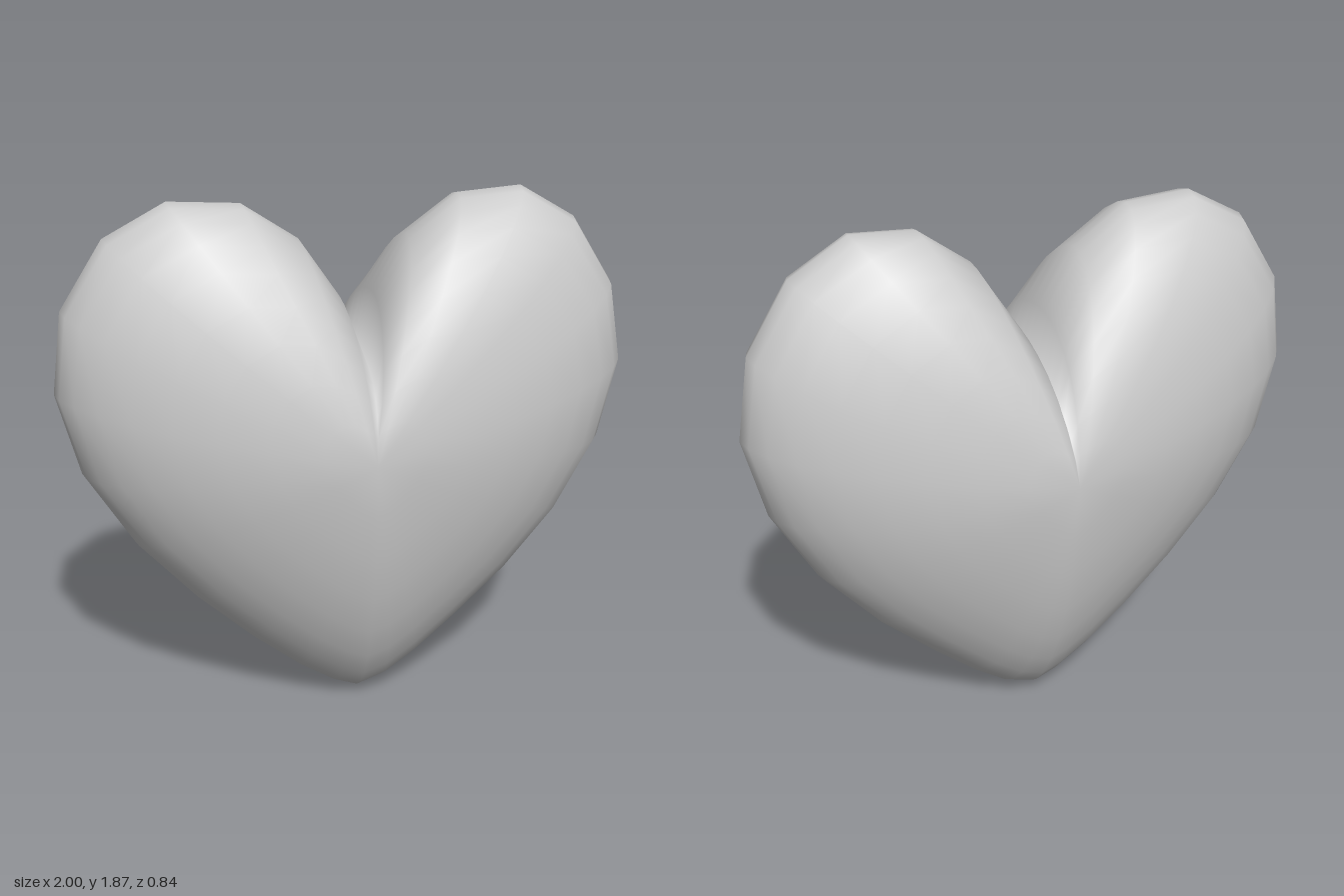
import * as THREE from 'three';

// Heart outline (x, y), clockwise from the notch
const OUTLINE = [
  [0.03, 1.33], [0.08, 1.53], [0.2, 1.72], [0.38, 1.85], [0.6, 1.865], [0.8, 1.75], [0.95, 1.52],
  [1, 1.24], [0.935, 0.95], [0.79, 0.68], [0.6, 0.45], [0.4, 0.26], [0.24, 0.12], [0.12, 0.035],
  [0.02, 0], [-0.07, 0.035], [-0.2, 0.12], [-0.37, 0.26], [-0.57, 0.45], [-0.77, 0.68], [-0.93, 0.95],
  [-1, 1.24], [-0.96, 1.52], [-0.81, 1.75], [-0.6, 1.86], [-0.36, 1.845], [-0.17, 1.72], [-0.04, 1.53],
];
const CENTRE_Y = 1.05;
const DEPTH = 0.42;
const HALF_RINGS = 9;

// Point on the puffed surface: s runs from 0 (middle of a face) to 1 (rim)
function surfacePoint([x, y], s, side) {
  const dy = y - CENTRE_Y;
  const sin = dy / Math.hypot(x, dy);
  // The notch fades out towards the middle of each face
  const lift = dy > 0 ? 0.25 * Math.exp(-(((x - 0.025) / 0.12) ** 2)) : 0;
  // The lobes thin out a little faster than the sides and the tip
  const power = 1.85 - (sin > 0 ? 0.45 : -0.1) * sin;
  const z = DEPTH * Math.pow(Math.max(0, 1 - s ** power), 0.55);
  return [x * s, CENTRE_Y + s * (dy + lift * (1 - s)), side * z];
}

function heartGeometry() {
  const n = OUTLINE.length;
  const rings = 2 * HALF_RINGS; // front middle, rim, back middle
  const positions = [0, CENTRE_Y, DEPTH];
  for (let k = 1; k < rings; k++) {
    const s = k === HALF_RINGS ? 1 : Math.sin((k / rings) * Math.PI);
    for (const p of OUTLINE) positions.push(...surfacePoint(p, s, k < HALF_RINGS ? 1 : -1));
  }
  positions.push(0, CENTRE_Y, -DEPTH);

  const last = 1 + (rings - 1) * n;
  const at = (k, i) => (k === 0 ? 0 : k === rings ? last : 1 + (k - 1) * n + (i % n));
  const index = [];
  for (let k = 0; k < rings; k++) {
    for (let i = 0; i < n; i++) {
      const a = at(k, i), b = at(k + 1, i), c = at(k + 1, i + 1), d = at(k, i + 1);
      if (k < rings - 1) index.push(a, c, b);
      if (k > 0) index.push(a, d, c);
    }
  }
  const geometry = new THREE.BufferGeometry();
  geometry.setAttribute('position', new THREE.Float32BufferAttribute(positions, 3));
  geometry.setIndex(index);
  geometry.computeVertexNormals();
  return geometry;
}

export function createModel() {
  const group = new THREE.Group();
  const heart = new THREE.Mesh(heartGeometry(), new THREE.MeshStandardMaterial({ color: 0xcccccc }));
  heart.name = 'heart';
  group.add(heart);
  return group;
}
